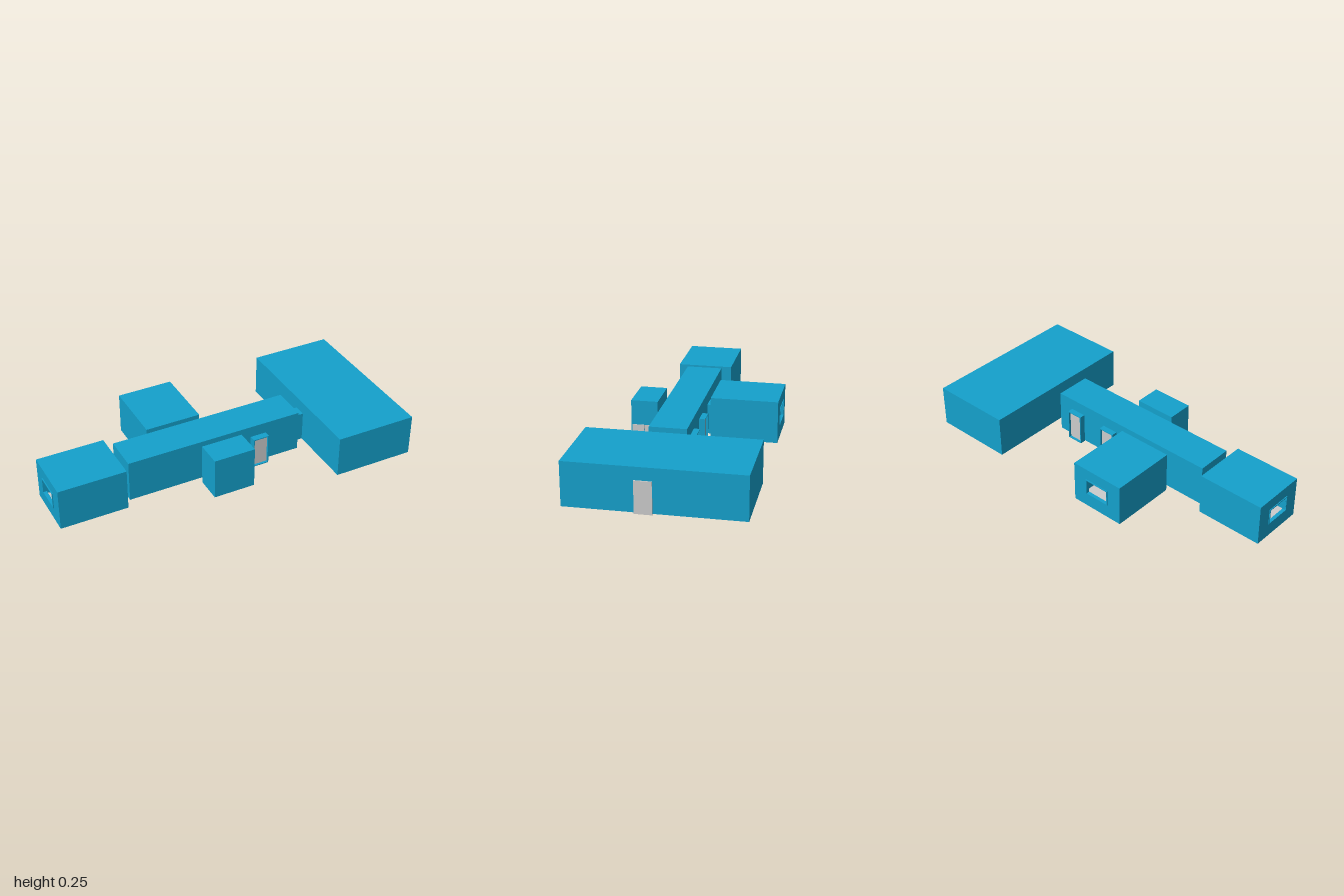
import * as THREE from 'three';

const teal = new THREE.MeshStandardMaterial({ color: 0x14a0cb, side: THREE.DoubleSide });
const grey = new THREE.MeshStandardMaterial({ color: 0xcccccc, side: THREE.DoubleSide });
const FLOOR = 0.005, ROOF = 0.245, LINTEL = 0.177;

function rect(target, x0, x1, y0, y1) {
  target.moveTo(x0, y0).lineTo(x1, y0).lineTo(x1, y1).lineTo(x0, y1).closePath();
  return target;
}

function add(parent, name, geometry, material, x, y, z, turn = 0) {
  const mesh = new THREE.Mesh(geometry, material);
  mesh.name = name;
  mesh.position.set(x, y, z);
  mesh.rotation.y = turn;
  parent.add(mesh);
  return mesh;
}

// Hollow block: four walls, a roof and a grey floor.
// holes[side] = [centre along the wall, width, bottom, top]
function room(parent, name, x0, x1, z0, z1, top = ROOF, holes = {}) {
  const g = new THREE.Group();
  g.name = name;
  const w = x1 - x0, d = z1 - z0, cx = (x0 + x1) / 2, cz = (z0 + z1) / 2;
  const sides = [
    ['front', w, cx, z1, 0], ['left', d, x1, cz, Math.PI / 2],
    ['back', w, cx, z0, Math.PI], ['right', d, x0, cz, -Math.PI / 2],
  ];
  for (const [side, len, x, z, turn] of sides) {
    const shape = rect(new THREE.Shape(), -len / 2, len / 2, FLOOR, top);
    const h = holes[side];
    if (h) shape.holes.push(rect(new THREE.Path(), h[0] - h[1] / 2, h[0] + h[1] / 2, h[2], h[3]));
    add(g, side + 'Wall', new THREE.ShapeGeometry(shape), teal, x, 0, z, turn);
  }
  const slab = new THREE.PlaneGeometry(w, d);
  add(g, 'roof', slab, teal, cx, top, cz).rotation.x = -Math.PI / 2;
  add(g, 'floor', slab, grey, cx, FLOOR, cz).rotation.x = -Math.PI / 2;
  parent.add(g);
}

// Thin rectangular frame sticking out along its local +z
function frame(parent, name, width, y0, y1, depth, x, z, turn, t = 0.005) {
  const shape = rect(new THREE.Shape(), -width / 2, width / 2, y0, y1);
  shape.holes.push(rect(new THREE.Path(), -width / 2 + t, width / 2 - t, y0 + t, y1 - t));
  const geo = new THREE.ExtrudeGeometry(shape, { depth, bevelEnabled: false });
  add(parent, name, geo, teal, x, 0, z, turn);
}

export function createModel() {
  const model = new THREE.Group();
  model.name = 'building';

  // Main blocks
  room(model, 'hall', 0.525, 0.993, -0.467, 0.467);
  room(model, 'corridor', -0.578, 0.455, -0.057, 0.147);
  room(model, 'endRoom', -0.995, -0.612, -0.11, 0.203, ROOF, { right: [0, 0.14, 0.09, 0.175] });
  room(model, 'backRoom', -0.365, -0.045, -0.467, -0.09, ROOF, { back: [0, 0.14, 0.09, 0.175] });
  room(model, 'frontRoom', -0.165, 0.075, 0.185, 0.335);

  // Low passages joining the blocks
  room(model, 'endPassage', -0.612, -0.578, 0, 0.09, LINTEL);
  room(model, 'hallPassage', 0.455, 0.525, 0.01, 0.08, LINTEL);
  room(model, 'backPassage', -0.213, -0.12, -0.09, -0.057, LINTEL);
  room(model, 'frontPassage', -0.092, 0, 0.147, 0.185, LINTEL);

  // Window surrounds
  frame(model, 'endWindowFrame', 0.15, 0.085, 0.18, 0.02, -0.98, 0.047, -Math.PI / 2);
  frame(model, 'backWindowFrame', 0.15, 0.085, 0.18, 0.02, -0.205, -0.452, Math.PI);

  // Porches with recessed doors along the corridor
  for (const [name, x, wallZ, depth, turn] of [
    ['frontDoor', 0.2, 0.147, 0.038, 0],
    ['backDoorA', 0.075, -0.057, 0.033, Math.PI],
    ['backDoorB', 0.318, -0.057, 0.033, Math.PI],
  ]) {
    const out = turn ? -1 : 1;
    frame(model, name + 'Porch', 0.094, 0, 0.18, depth, x, wallZ, turn);
    add(model, name, new THREE.BoxGeometry(0.086, 0.171, 0.004), grey, x, 0.09, wallZ + out * (depth - 0.015));
  }

  // Hall door and the low double hatch on the front room
  add(model, 'hallDoor', new THREE.BoxGeometry(0.012, 0.175, 0.092), grey, 0.994, 0.0875, 0.051);
  for (const z of [0.226, 0.296]) {
    add(model, 'hatchPanel', new THREE.BoxGeometry(0.006, 0.1, 0.067), grey, 0.075, 0.055, z);
  }
  return model;
}
